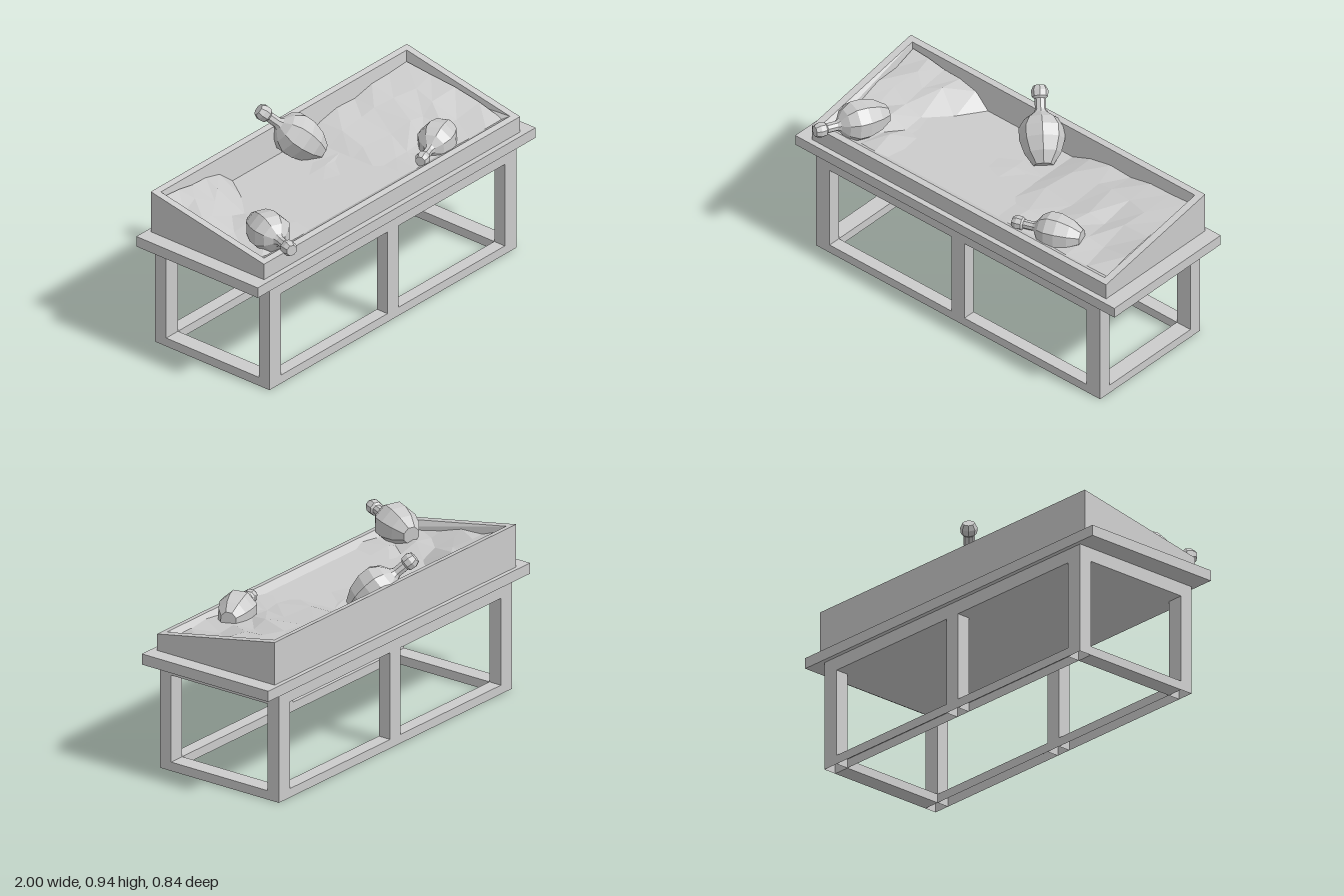
import * as THREE from 'three';

const mat = new THREE.MeshStandardMaterial({ color: 0xcccccc, flatShading: true });
const openMat = new THREE.MeshStandardMaterial({ color: 0xcccccc, flatShading: true, side: THREE.DoubleSide });
const FLOOR = 0.672;

function add(parent, name, geo, material = mat) {
  const mesh = new THREE.Mesh(geo, material);
  mesh.name = name;
  parent.add(mesh);
  return mesh;
}

// Box given by its extents
function box(parent, name, x0, x1, y0, y1, z0, z1) {
  const mesh = add(parent, name, new THREE.BoxGeometry(x1 - x0, y1 - y0, z1 - z0));
  mesh.position.set((x0 + x1) / 2, (y0 + y1) / 2, (z0 + z1) / 2);
  return mesh;
}

// Hollow box without its underside
function openBox(...args) {
  const mesh = box(...args);
  const index = [...mesh.geometry.index.array];
  index.splice(18, 6);
  mesh.geometry.setIndex(index);
  mesh.geometry.clearGroups();
  mesh.material = openMat;
}

// Height of the sloping bin rim at depth z
const rim = z => 0.69 + (0.321 - z) * 0.19;

// Open bin: outer foot, outer rim, inner rim and floor rings joined by quads
function binGeometry() {
  const ring = (x, z0, z1, y) => [[-x, z1], [x, z1], [x, z0], [-x, z0]].map(([px, pz]) => [px, y(pz), pz]);
  const rings = [
    ring(0.922, -0.378, 0.321, () => 0.6),
    ring(0.922, -0.378, 0.321, rim),
    ring(0.885, -0.347, 0.29, rim),
    ring(0.86, -0.327, 0.25, () => FLOOR),
  ];
  const pos = [];
  const quad = (a, b, c, d) => pos.push(...a, ...b, ...c, ...a, ...c, ...d);
  for (let r = 0; r < 3; r++)
    for (let i = 0; i < 4; i++) {
      const j = (i + 1) % 4;
      quad(rings[r][i], rings[r][j], rings[r + 1][j], rings[r + 1][i]);
    }
  quad(...rings[3]);
  const geo = new THREE.BufferGeometry();
  geo.setAttribute('position', new THREE.Float32BufferAttribute(pos, 3));
  geo.computeVertexNormals();
  return geo;
}

function seeded(seed) {
  return () => {
    seed = (seed * 16807) % 2147483647;
    return seed / 2147483647;
  };
}

// Rough faceted patch; amount(x, z) runs from 0 at the floor to 1 just under the rim
function heap(parent, name, x0, x1, z0, z1, nx, nz, seed, amount) {
  const geo = new THREE.PlaneGeometry(x1 - x0, z1 - z0, nx, nz);
  geo.rotateX(-Math.PI / 2);
  geo.translate((x0 + x1) / 2, 0, (z0 + z1) / 2);
  const rand = seeded(seed), p = geo.attributes.position;
  for (let i = 0; i < p.count; i++) {
    let x = p.getX(i), z = p.getZ(i);
    const jx = rand() - 0.5, jz = rand() - 0.5, jy = rand() - 0.5;
    if (x > x0 + 0.01 && x < x1 - 0.01 && z > z0 + 0.01 && z < z1 - 0.01) {
      x += jx * 0.07;
      z += jz * 0.06;
    }
    const h = Math.max(0, amount(x, z));
    const y = FLOOR - 0.006 + h * (rim(z) - 0.02 - FLOOR) + Math.min(1, h * 3) * jy * 0.03;
    p.setXYZ(i, x, y, z);
  }
  geo.computeVertexNormals();
  add(parent, name, geo, openMat);
}

// Eight-sided jug: distance up from the base and radius
const jugProfile = [[0, 0], [0, 0.045], [0.06, 0.082], [0.13, 0.102], [0.19, 0.102],
  [0.235, 0.075], [0.265, 0.034], [0.28, 0.025], [0.335, 0.025], [0.345, 0.036],
  [0.375, 0.039], [0.4, 0.028], [0.4, 0]].map(([y, r]) => new THREE.Vector2(r, y));

function jug(parent, name, base, tip, scale) {
  const a = new THREE.Vector3(...base), b = new THREE.Vector3(...tip);
  const dir = b.clone().sub(a);
  const mesh = add(parent, name, new THREE.LatheGeometry(jugProfile, 8));
  mesh.position.copy(a);
  mesh.scale.set(scale, dir.length() / 0.4, scale);
  mesh.quaternion.setFromUnitVectors(new THREE.Vector3(0, 1, 0), dir.normalize());
}

export function createModel() {
  const model = new THREE.Group();
  model.name = 'displayStand';

  // Underframe: legs and bottom rails under a solid block
  const frame = new THREE.Group();
  frame.name = 'underframe';
  model.add(frame);
  for (const [side, z0, z1] of [['front', 0.262, 0.327], ['back', -0.378, -0.31]]) {
    for (const [name, x0, x1] of [['RightLeg', -0.89, -0.805], ['MiddleLeg', -0.04, 0.04], ['LeftLeg', 0.805, 0.89]])
      openBox(frame, side + name, x0, x1, 0, 0.49, z0, z1);
    for (const [name, x0, x1] of [['RightRail', -0.805, -0.04], ['LeftRail', 0.04, 0.805]])
      openBox(frame, side + name, x0, x1, 0, 0.045, z0, z1);
  }
  for (const [name, x0, x1] of [['rightEndRail', -0.89, -0.805], ['leftEndRail', 0.805, 0.89]])
    box(frame, name, x0, x1, 0, 0.045, -0.31, 0.262);
  box(frame, 'apronBlock', -0.89, 0.89, 0.485, 0.555, -0.378, 0.327);

  // Table top
  box(model, 'tableTop', -1, 1, 0.553, 0.607, -0.4, 0.35);

  // Sloping bin with a flat floor
  const bin = new THREE.Group();
  bin.name = 'bin';
  model.add(bin);
  add(bin, 'binShell', binGeometry(), openMat);

  // Heaps at both ends and a low one in the middle
  const step = THREE.MathUtils.smoothstep;
  heap(bin, 'rightHeap', -0.87, -0.38, -0.335, 0.265, 5, 5, 17, (x, z) => {
    const edge = -0.55 + 0.15 * step(-z, 0.1, 0.33) + 0.04 * step(z, 0, 0.12);
    const t = (edge - x) / 0.45;
    return Math.min(0.95, step(t, 0, 0.25) * 0.55 + t * 0.45);
  });
  heap(bin, 'leftHeap', 0.12, 0.87, -0.335, 0.265, 6, 4, 29, x =>
    step(x, 0.12, 0.24) * 0.38 + Math.max(0, x - 0.2) * 0.8);
  heap(bin, 'middleHeap', -0.22, 0.2, -0.22, 0.1, 4, 4, 53, (x, z) =>
    0.2 * (1 - Math.hypot((x + 0.01) / 0.21, (z + 0.06) / 0.16)));

  // Jugs lying in the heaps
  jug(model, 'rightJug', [-0.685, 0.733, 0.06], [-0.825, 0.755, 0.41], 0.97);
  jug(model, 'backJug', [0.08, 0.675, -0.185], [-0.13, 0.918, -0.393], 1.06);
  jug(model, 'leftJug', [0.61, 0.705, 0.14], [0.28, 0.7, 0.255], 0.9);

  return model;
}
